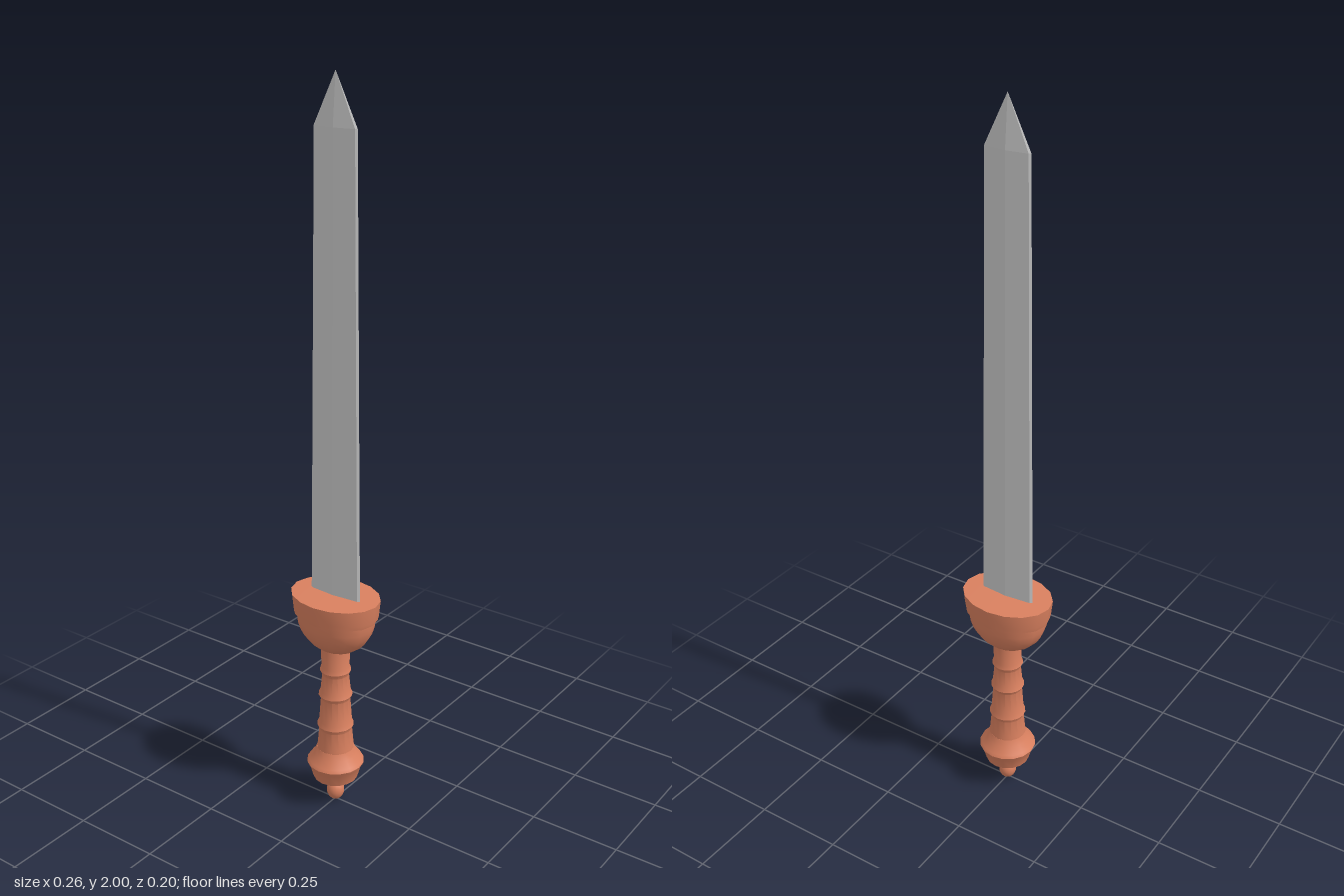
import * as THREE from 'three';
import { toCreasedNormals } from 'three/addons/utils/BufferGeometryUtils.js';

const bronze = new THREE.MeshStandardMaterial({ color: 0xd9805f });
const steel = new THREE.MeshStandardMaterial({ color: 0xcccccc });

// Turned part from [radius, y] points, listed from bottom to top
function turned(name, profile, segments = 16, depth = 1) {
  const points = profile.map(([r, y]) => new THREE.Vector2(r, y));
  const geometry = new THREE.LatheGeometry(points, segments);
  geometry.scale(1, 1, depth);
  const mesh = new THREE.Mesh(toCreasedNormals(geometry, 0.6), bronze);
  mesh.name = name;
  return mesh;
}

// Ridged blade: eight-sided sections, shrinking to a point
function bladeGeometry() {
  const sections = [
    { y: 0.62, w: 0.08, t: 0.013 },
    { y: 1.87, w: 0.064, t: 0.011 },
    { y: 2.0, w: 0, t: 0 },
  ];
  const outline = [[1, 0], [0.92, 0.35], [0, 1], [-0.92, 0.35], [-1, 0], [-0.92, -0.35], [0, -1], [0.92, -0.35]];
  const n = outline.length;
  const positions = [];
  const index = [];
  for (const { y, w, t } of sections) {
    for (const [x, z] of outline) positions.push(x * w, y, z * t);
  }
  for (let s = 0; s < sections.length - 1; s++) {
    for (let i = 0; i < n; i++) {
      const a = s * n + i, b = s * n + (i + 1) % n;
      index.push(a, a + n, b);
      if (s < sections.length - 2) index.push(b, a + n, b + n);
    }
  }
  for (let i = 1; i < n - 1; i++) index.push(0, i, i + 1);
  const geometry = new THREE.BufferGeometry();
  geometry.setAttribute('position', new THREE.Float32BufferAttribute(positions, 3));
  geometry.setIndex(index);
  const flat = geometry.toNonIndexed();
  flat.computeVertexNormals();
  return flat;
}

export function createModel() {
  const sword = new THREE.Group();
  sword.name = 'sword';

  const blade = new THREE.Mesh(bladeGeometry(), steel);
  blade.name = 'blade';
  sword.add(blade);

  // Oval bowl with a flared rim
  const bowl = [[0, 0.478]];
  for (let i = 1; i <= 7; i++) {
    const a = (0.2 + 0.8 * (i - 1) / 6) * Math.PI / 2;
    bowl.push([0.116 * Math.sin(a), 0.588 - 0.113 * Math.cos(a)]);
  }
  bowl.push([0.122, 0.588], [0.125, 0.6], [0.13, 0.645], [0, 0.648]);
  sword.add(turned('guard', bowl, 16, 0.77));

  // Grip with three stepped swells, flaring into the pommel
  sword.add(turned('grip', [
    [0.05, 0.12], [0.054, 0.16], [0.051, 0.18], [0.046, 0.235],
    [0.051, 0.247], [0.046, 0.26], [0.041, 0.33],
    [0.047, 0.342], [0.042, 0.355], [0.037, 0.405],
    [0.043, 0.418], [0.039, 0.43], [0.04, 0.49],
  ]));

  sword.add(turned('pommel', [
    [0, 0.05], [0.012, 0.05], [0.021, 0.062], [0.047, 0.072], [0.062, 0.08],
    [0.072, 0.115], [0.077, 0.122], [0.08, 0.13], [0.075, 0.138], [0.06, 0.155], [0.052, 0.175], [0, 0.175],
  ]));

  // Small ball at the end
  const finial = new THREE.Mesh(new THREE.SphereGeometry(0.025, 16, 10), bronze);
  finial.name = 'finial';
  finial.position.y = 0.03;
  finial.scale.y = 1.2;
  sword.add(finial);

  return sword;
}
